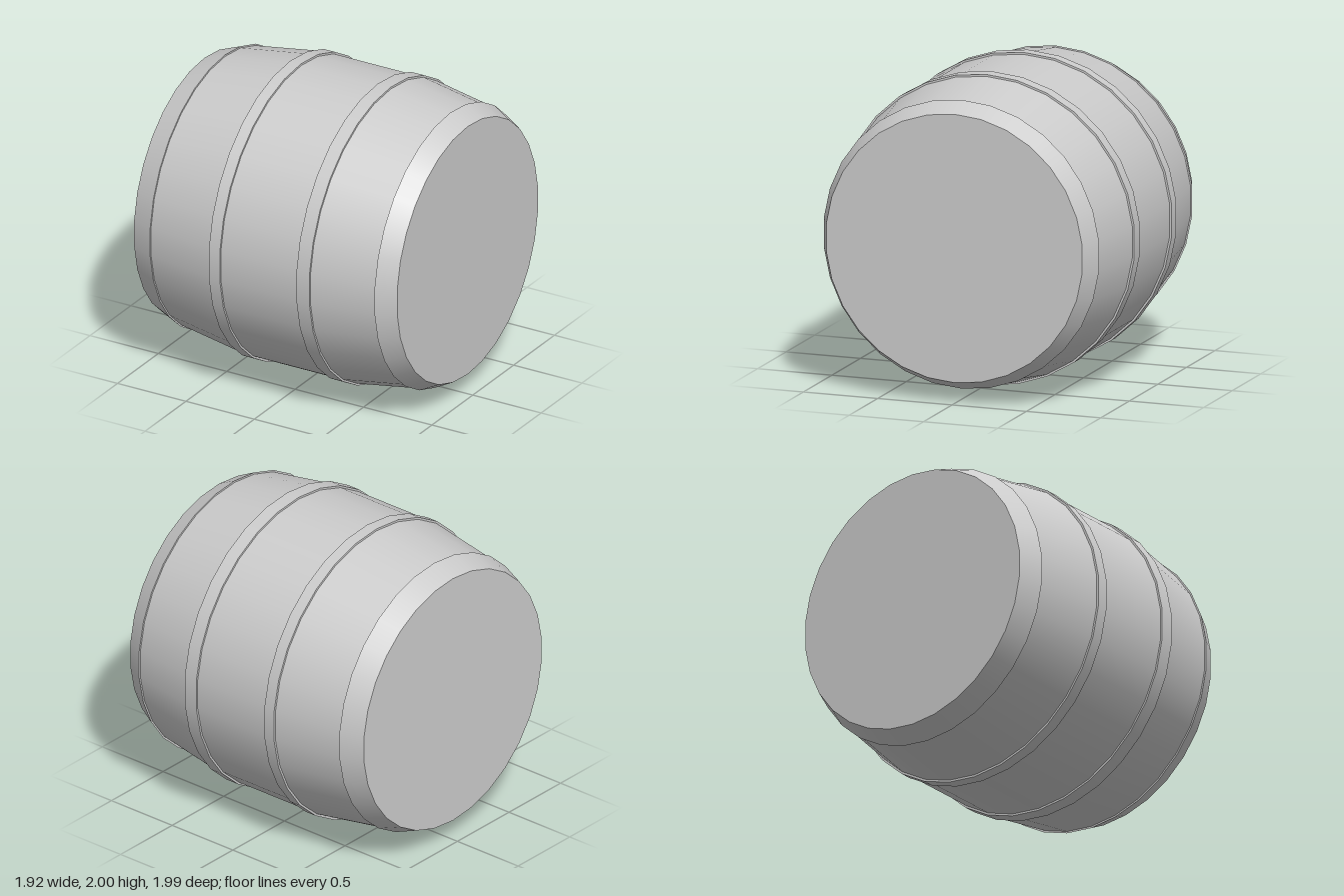
import * as THREE from 'three';
import { mergeGeometries } from 'three/addons/utils/BufferGeometryUtils.js';

const SIDES = 30;
const material = new THREE.MeshStandardMaterial({ color: 0xcccccc });

// Revolves a profile of [x, radius] points about the x axis, smooth around and creased along the profile
function revolve(name, profile) {
  const bands = [];
  for (let i = 0; i < profile.length - 1; i++) {
    const points = [profile[i], profile[i + 1]].map(([x, r]) => new THREE.Vector2(r, x));
    bands.push(new THREE.LatheGeometry(points, SIDES, Math.PI / 2));
  }
  const geometry = mergeGeometries(bands);
  geometry.rotateZ(-Math.PI / 2);
  const mesh = new THREE.Mesh(geometry, material);
  mesh.name = name;
  return mesh;
}

// A band with thin lips reaching down into the staves
function hoop(name, x0, r0, x1, r1) {
  const depth = 0.02;
  return revolve(name, [[x0, r0 - depth], [x0, r0], [x1, r1], [x1, r1 - depth]]);
}

export function createModel() {
  const barrel = new THREE.Group();
  barrel.name = 'barrel';

  // Bulging staves with a flat head at each end
  barrel.add(revolve('staves', [
    [-0.96, 0], [-0.96, 0.855], [-0.81, 0.913], [-0.33, 0.987],
    [0.4, 0.987], [0.835, 0.918], [0.96, 0.855], [0.96, 0],
  ]));

  // Hoops around the belly
  barrel.add(hoop('leftBellyHoop', 0.305, 1, 0.4, 1));
  barrel.add(hoop('rightBellyHoop', -0.335, 1, -0.255, 1));

  // Tapered hoops at the rims
  barrel.add(hoop('leftRimHoop', 0.835, 0.93, 0.962, 0.865));
  barrel.add(hoop('rightRimHoop', -0.962, 0.865, -0.81, 0.924));

  barrel.position.y = 1;
  const model = new THREE.Group();
  model.add(barrel);
  return model;
}
